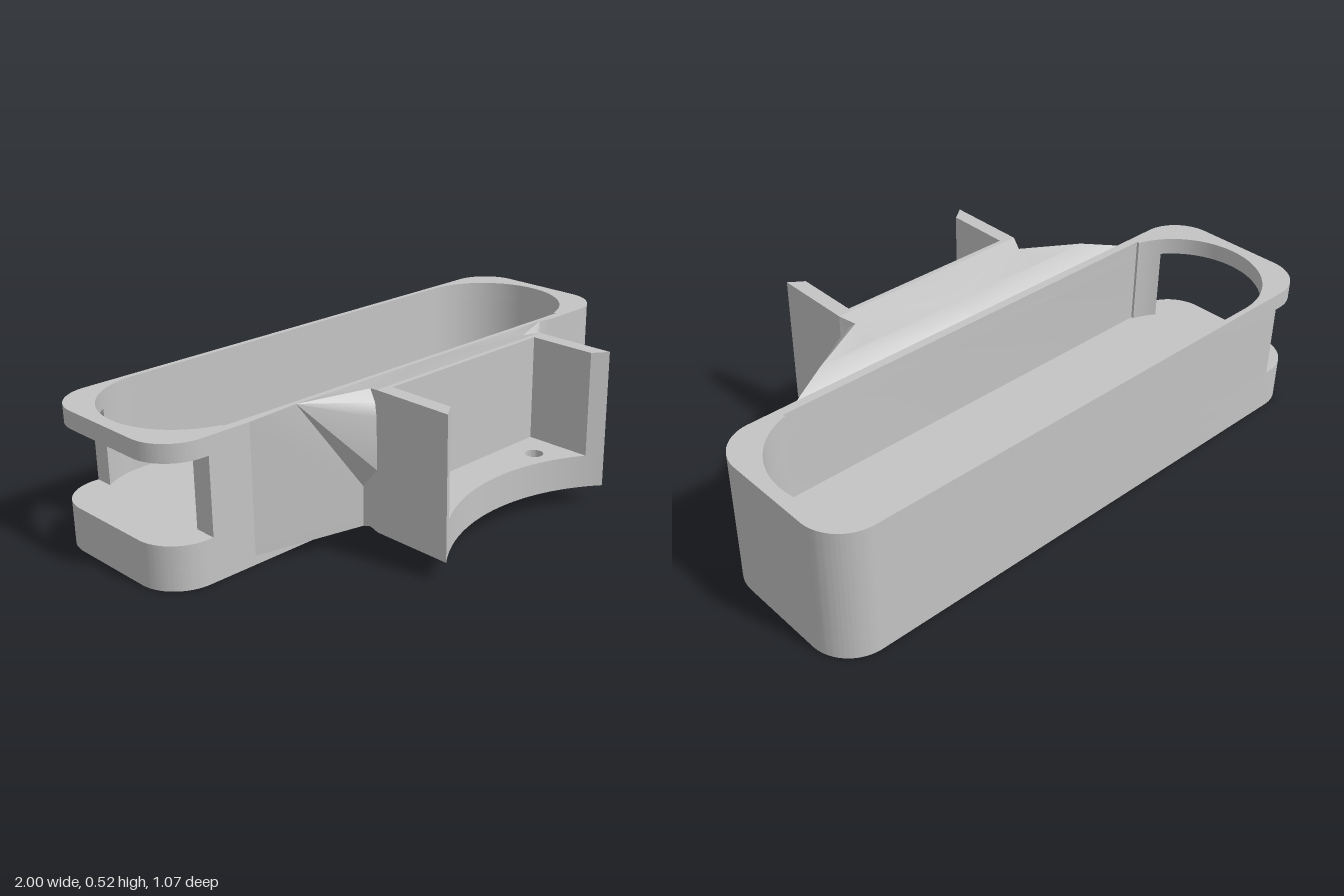
import * as THREE from 'three';
import { toCreasedNormals } from 'three/addons/utils/BufferGeometryUtils.js';

const PI = Math.PI;

export function createModel() {
  const model = new THREE.Group();
  model.name = 'trayWithBracket';
  const grey = new THREE.MeshStandardMaterial({ color: 0xc4c4c4 });
  grey.name = 'grey';

  // Plan shapes use (x, -z); they are extruded upward from y0 to y1.
  function slab(name, shape, y0, y1) {
    const flat = new THREE.ExtrudeGeometry(shape, { depth: y1 - y0, bevelEnabled: false, curveSegments: 24 });
    flat.rotateX(-PI / 2);
    flat.translate(0, y0, 0);
    const mesh = new THREE.Mesh(toCreasedNormals(flat, 0.5), grey);
    mesh.name = name;
    model.add(mesh);
  }
  const hole = (x, z, r) => new THREE.Path().absarc(x, -z, r, 0, 2 * PI, true);

  // Tray outline
  const front = -0.05, back = 0.534, r = 0.14;
  function outline() {
    const s = new THREE.Shape();
    s.moveTo(-1 + r, front);
    s.lineTo(1 - r, front);
    s.absarc(1 - r, front + r, r, -PI / 2, 0);
    s.absarc(1 - r, back - r, r, 0, PI / 2);
    s.absarc(-1 + r, back - r, r, PI / 2, PI);
    s.absarc(-1 + r, front + r, r, PI, 1.5 * PI);
    return s;
  }

  // Cavity: round ends, with a shallow relief along the front wall
  const cx = 0.69, cs = 0.2475, R = 0.2675, lip = -0.02, lipX = 0.76, cutX = -0.84;
  const a = Math.acos((lipX - cx) / R);
  const b = Math.acos((-cx - cutX) / R);
  const cavity = new THREE.Path();
  cavity.moveTo(-lipX, lip);
  cavity.lineTo(lipX, lip);
  cavity.absarc(cx, cs, R, -a, PI / 2);
  cavity.absarc(-cx, cs, R, PI / 2, PI + a);
  cavity.closePath();

  // Floor with two screw holes, counterbored from below
  for (const [name, radius, y0, y1] of [['trayUnderside', 0.057, 0, 0.08], ['trayFloor', 0.035, 0.08, 0.145]]) {
    const floor = outline();
    floor.holes.push(hole(-0.47, -0.26, radius), hole(0.47, -0.26, radius));
    slab(name, floor, y0, y1);
  }

  // Wall, open at the right end
  const wall = new THREE.Shape();
  wall.moveTo(cutX, front);
  wall.lineTo(1 - r, front);
  wall.absarc(1 - r, front + r, r, -PI / 2, 0);
  wall.absarc(1 - r, back - r, r, 0, PI / 2);
  wall.lineTo(cutX, back);
  wall.absarc(-cx, cs, R, PI - b, PI / 2, true);
  wall.absarc(cx, cs, R, PI / 2, -a, true);
  wall.lineTo(lipX, lip);
  wall.lineTo(-lipX, lip);
  wall.absarc(-cx, cs, R, PI + a, PI + b, true);
  wall.closePath();
  slab('trayWall', wall, 0.145, 0.4);

  // Closed rim above the opening
  const rim = outline();
  rim.holes.push(cavity);
  slab('trayRim', rim, 0.4, 0.459);

  // Bracket: floor with concave front edge and two screw holes
  const w = 0.377, inner = 0.327, z0 = 0.25, arcR = 0.606, arcC = 1.006, phi = Math.asin(w / arcR);
  const arcZ = x => arcC - Math.sqrt(arcR * arcR - x * x);
  const base = new THREE.Shape();
  base.moveTo(w, -z0);
  base.lineTo(-w, -z0);
  base.absarc(0, -arcC, arcR, PI / 2 + phi, PI / 2 - phi, true);
  base.closePath();
  base.holes.push(hole(-0.235, 0.365, 0.03), hole(0.225, 0.365, 0.03));
  slab('bracketFloor', base, 0.065, 0.175);

  // Bracket walls: back and two sides
  const walls = new THREE.Shape([
    [w, z0], [-w, z0], [-w, arcZ(w)], [-inner, arcZ(inner)],
    [-inner, 0.267], [inner, 0.267], [inner, arcZ(inner)], [w, arcZ(w)],
  ].map(([x, z]) => new THREE.Vector2(x, -z)));
  slab('bracketWalls', walls, 0.175, 0.525);

  // Neck: flared web between tray and bracket, one half mirrored
  const p = {
    t0: [0, 0.459, 0.05], t1: [0, 0.493, 0.105], t2: [0, 0.525, 0.25],
    m0: [0, 0.03, 0.05], m1: [0, 0.075, 0.22], m2: [0, 0.065, 0.25],
    footLow: [0.69, 0.03, 0.05], footHigh: [0.69, 0.459, 0.05],
    wing: [0.56, 0.493, 0.105], crest: [0.43, 0.493, 0.105],
    ridge: [0.373, 0.499, 0.14], dip: [0.353, 0.511, 0.2],
    top: [w, 0.525, 0.25], scoop: [0.368, 0.48, 0.235],
    sideHigh: [w, 0.44, 0.25], sideLow: [w, 0.27, 0.25], crease: [w, 0.2, 0.19],
    heel: [w, 0.067, 0.19], sole: [w, 0.075, 0.22], toe: [w, 0.065, 0.25],
  };
  const faces = [
    't0 t1 wing footHigh', 't1 t2 top dip ridge crest',
    'wing crest ridge dip scoop sideHigh', 'dip top scoop', 'scoop top sideHigh',
    'wing sideHigh sideLow crease', 'sideLow toe sole heel crease',
    'crease heel footLow footHigh wing',
    'm0 footLow heel sole m1', 'm1 sole toe m2',
  ];
  const verts = [];
  for (const side of [1, -1]) {
    for (const face of faces) {
      const ring = face.split(' ').map(k => [p[k][0] * side, p[k][1], p[k][2]]);
      // Fan from the first corner; mirrored halves swap the other two
      for (let i = 1; i < ring.length - 1; i++) {
        verts.push(...ring[0], ...(side > 0 ? [...ring[i], ...ring[i + 1]] : [...ring[i + 1], ...ring[i]]));
      }
    }
  }
  const neckGeo = new THREE.BufferGeometry();
  neckGeo.setAttribute('position', new THREE.Float32BufferAttribute(verts, 3));
  neckGeo.computeVertexNormals();
  const neck = new THREE.Mesh(toCreasedNormals(neckGeo, 0.5), grey);
  neck.name = 'neck';
  model.add(neck);

  return model;
}
